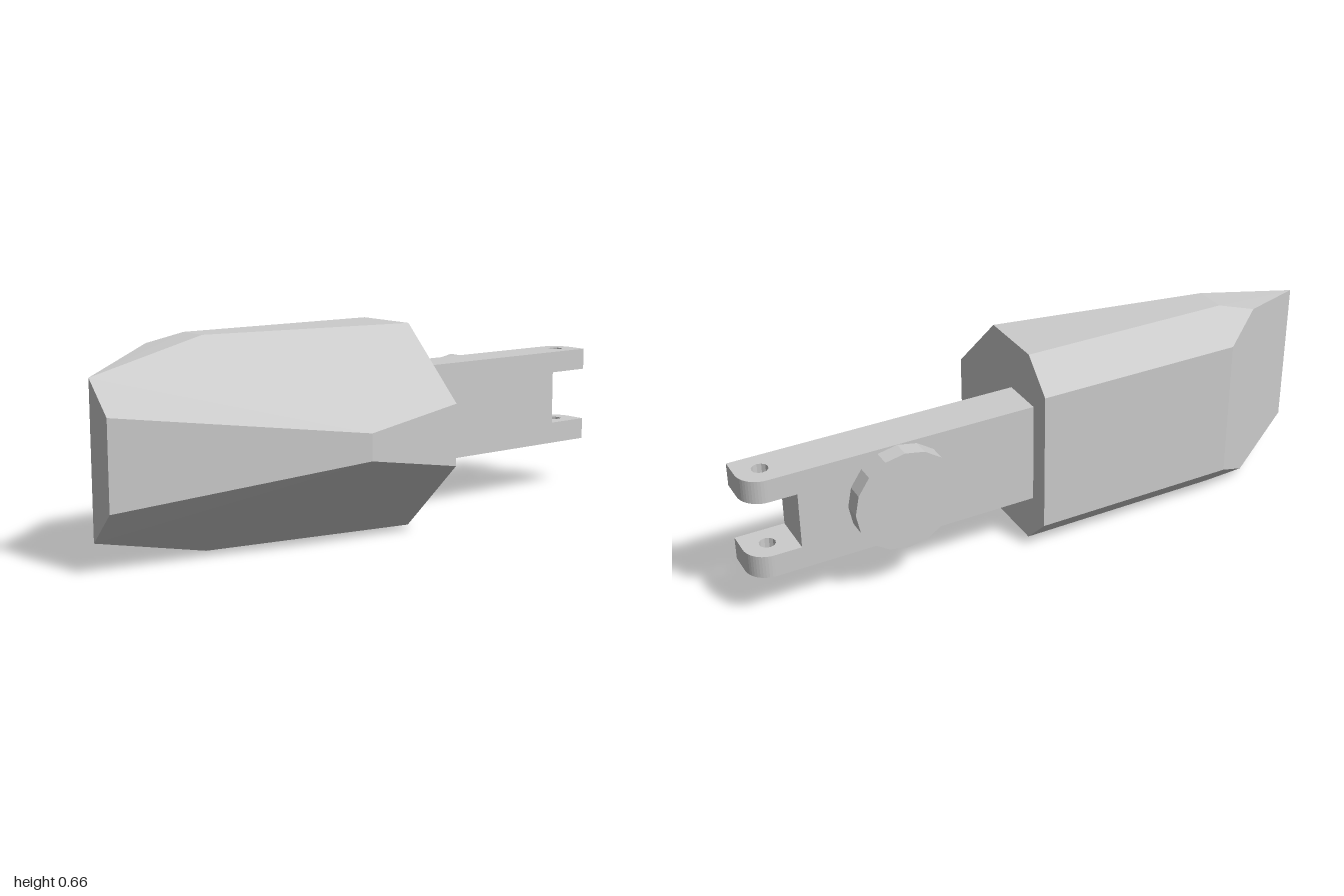
import * as THREE from 'three';
import { ConvexGeometry } from 'three/addons/geometries/ConvexGeometry.js';

const MID = 0.328; // height of the mirror plane

export function createModel() {
  const group = new THREE.Group();
  const material = new THREE.MeshStandardMaterial({ color: 0xcccccc, flatShading: true });
  const add = (name, geometry, x = 0, y = 0, z = 0) => {
    const mesh = new THREE.Mesh(geometry, material);
    mesh.name = name;
    mesh.position.set(x, y, z);
    group.add(mesh);
    return mesh;
  };

  // Faceted head: corners of the upper half, mirrored to the lower half
  const corners = [
    [-0.28, 0.228, -0.08], [-0.18, 0.328, -0.08], [0.045, 0.328, -0.08], [0.278, 0.098, -0.08],
    [-0.28, 0.228, 0.6], [-0.18, 0.328, 0.61], [-0.208, 0.3, 0.725], [-0.077, 0.328, 0.61],
    [0.278, 0.042, 0.25], [-0.05, 0.238, 1], [0.048, 0.137, 1],
  ];
  const points = [];
  for (const s of [1, -1]) {
    for (const [x, h, z] of corners) points.push(new THREE.Vector3(x, MID + s * h, z));
  }
  add('head', new ConvexGeometry(points));

  // Straight arm behind the head
  add('arm', new THREE.BoxGeometry(0.14, 0.328, 0.765), -0.14, MID, -0.4625);

  // Two fork prongs with one rounded corner and a pin hole
  const outline = new THREE.Shape();
  outline.moveTo(-0.21, 0.845);
  outline.lineTo(-0.07, 0.845);
  outline.lineTo(-0.07, 1);
  outline.lineTo(-0.14, 1);
  outline.absarc(-0.14, 0.93, 0.07, Math.PI / 2, Math.PI, false);
  outline.closePath();
  const hole = new THREE.Path();
  hole.absarc(-0.14, 0.925, 0.025, 0, Math.PI * 2, true);
  outline.holes.push(hole);
  const prong = new THREE.ExtrudeGeometry(outline, { depth: 0.073, bevelEnabled: false, curveSegments: 6 });
  prong.rotateX(-Math.PI / 2);
  add('lowerProng', prong, 0, MID - 0.164, 0);
  add('upperProng', prong, 0, MID + 0.091, 0);

  // Round disc on the side of the arm
  const disc = new THREE.CylinderGeometry(0.163, 0.163, 0.055, 16);
  disc.rotateZ(Math.PI / 2);
  add('sideDisc', disc, -0.2375, MID, -0.532);

  return group;
}
